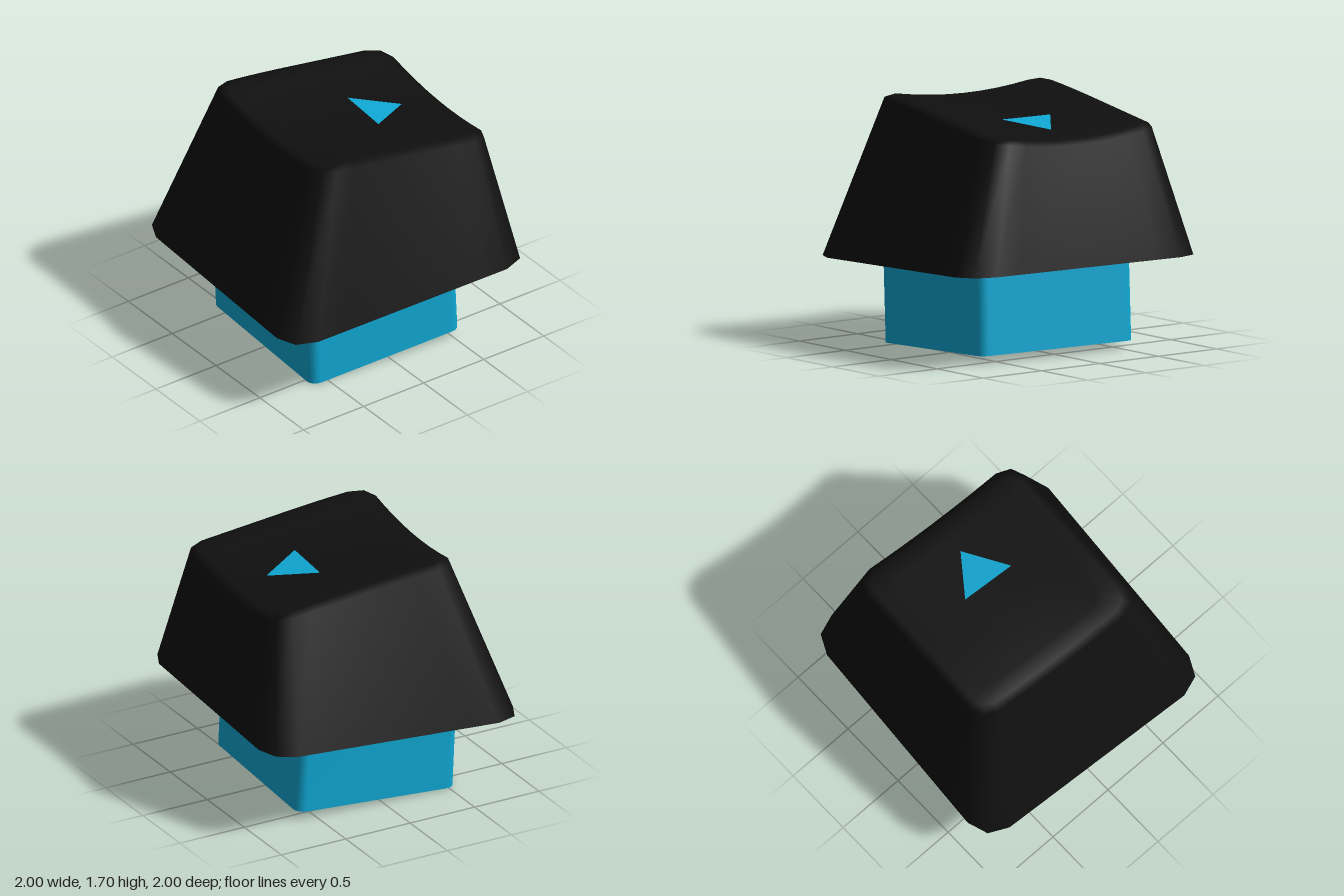
import * as THREE from 'three';
import { mergeVertices } from 'three/addons/utils/BufferGeometryUtils.js';

// Height of the dished, sloping top face
const topY = (x, z) => {
  const ridge = 1.657 + 0.13 * z - 0.06 * Math.max(0, z) ** 2;
  return ridge - 0.055 * (1 - Math.min(1, (x / 0.6) ** 2));
};

// Rounded rectangle ring: half width hx, from back zb to front zf, corner radius r
function ring({ hx, zf, zb, r, y }, cornerSegs, sideSegs) {
  const corners = [[hx - r, zf - r], [-hx + r, zf - r], [-hx + r, zb + r], [hx - r, zb + r]];
  const outline = corners.map(([cx, cz], k) => {
    const arc = [];
    for (let i = 0; i <= cornerSegs; i++) {
      const a = (k + i / cornerSegs) * Math.PI / 2;
      arc.push([cx + r * Math.cos(a), cz + r * Math.sin(a)]);
    }
    return arc;
  });
  const pts = [];
  outline.forEach((arc, k) => {
    pts.push(...arc);
    const [x0, z0] = arc[arc.length - 1], [x1, z1] = outline[(k + 1) % 4][0];
    for (let i = 1; i < sideSegs; i++) {
      const t = i / sideSegs;
      pts.push([x0 + (x1 - x0) * t, z0 + (z1 - z0) * t]);
    }
  });
  return pts.map(([x, z]) => [x, y(x, z), z]);
}

// Skin between consecutive rings
function loft(sections, cornerSegs, sideSegs) {
  const rings = sections.map((s) => ring(s, cornerSegs, sideSegs));
  const n = rings[0].length, index = [];
  for (let j = 0; j < rings.length - 1; j++) {
    for (let i = 0; i < n; i++) {
      const a = j * n + i, b = j * n + (i + 1) % n;
      index.push(a, a + n, b, b, a + n, b + n);
    }
  }
  const g = new THREE.BufferGeometry();
  g.setAttribute('position', new THREE.Float32BufferAttribute(rings.flat(2), 3));
  g.setIndex(index);
  const merged = mergeVertices(g);
  merged.computeVertexNormals();
  return merged;
}

export function createModel() {
  const black = new THREE.MeshStandardMaterial({ color: 0x0f0f0f, side: THREE.DoubleSide });
  black.name = 'black';
  const cyan = new THREE.MeshStandardMaterial({ color: 0x0fa8d4, side: THREE.DoubleSide });
  cyan.name = 'cyan';

  const model = new THREE.Group();
  model.name = 'keycap';
  const add = (name, geometry, material) => {
    const mesh = new THREE.Mesh(geometry, material);
    mesh.name = name;
    model.add(mesh);
  };

  // Hollow cap: tapering wall, softened rim, dished top
  const baseY = (x, z) => 0.617 - 0.043 * z;
  const sections = [
    { hx: 0.955, zf: 0.955, zb: -0.955, r: 0.2, y: baseY },
    { hx: 0.685, zf: 0.57, zb: -0.81, r: 0.14, y: (x, z) => topY(x, z) - 0.025 },
  ];
  for (const s of [1, 0.8, 0.6, 0.4, 0.2, 0]) {
    sections.push({ hx: 0.63 * s, zf: -0.12 + 0.635 * s, zb: -0.12 - 0.635 * s, r: 0.11 * s, y: topY });
  }
  add('cap', loft(sections, 2, 8), black);

  // Open rectangular sleeve below the cap
  add('sleeve', loft([
    { hx: 0.627, zf: 0.59, zb: -0.6, r: 0.07, y: (x, z) => 0.03 - 0.047 * z },
    { hx: 0.627, zf: 0.617, zb: -0.573, r: 0.07, y: baseY },
  ], 4, 1), cyan);

  // Triangular arrow mark on the top
  const mark = new THREE.BufferGeometry();
  const corners = [[0.008, -0.52], [-0.195, -0.217], [0.198, -0.212]];
  mark.setAttribute('position', new THREE.Float32BufferAttribute(
    corners.flatMap(([x, z]) => [x, topY(x, z) + 0.005, z]), 3));
  mark.computeVertexNormals();
  add('arrowMark', mark, cyan);

  model.rotation.y = -0.061;
  return model;
}
